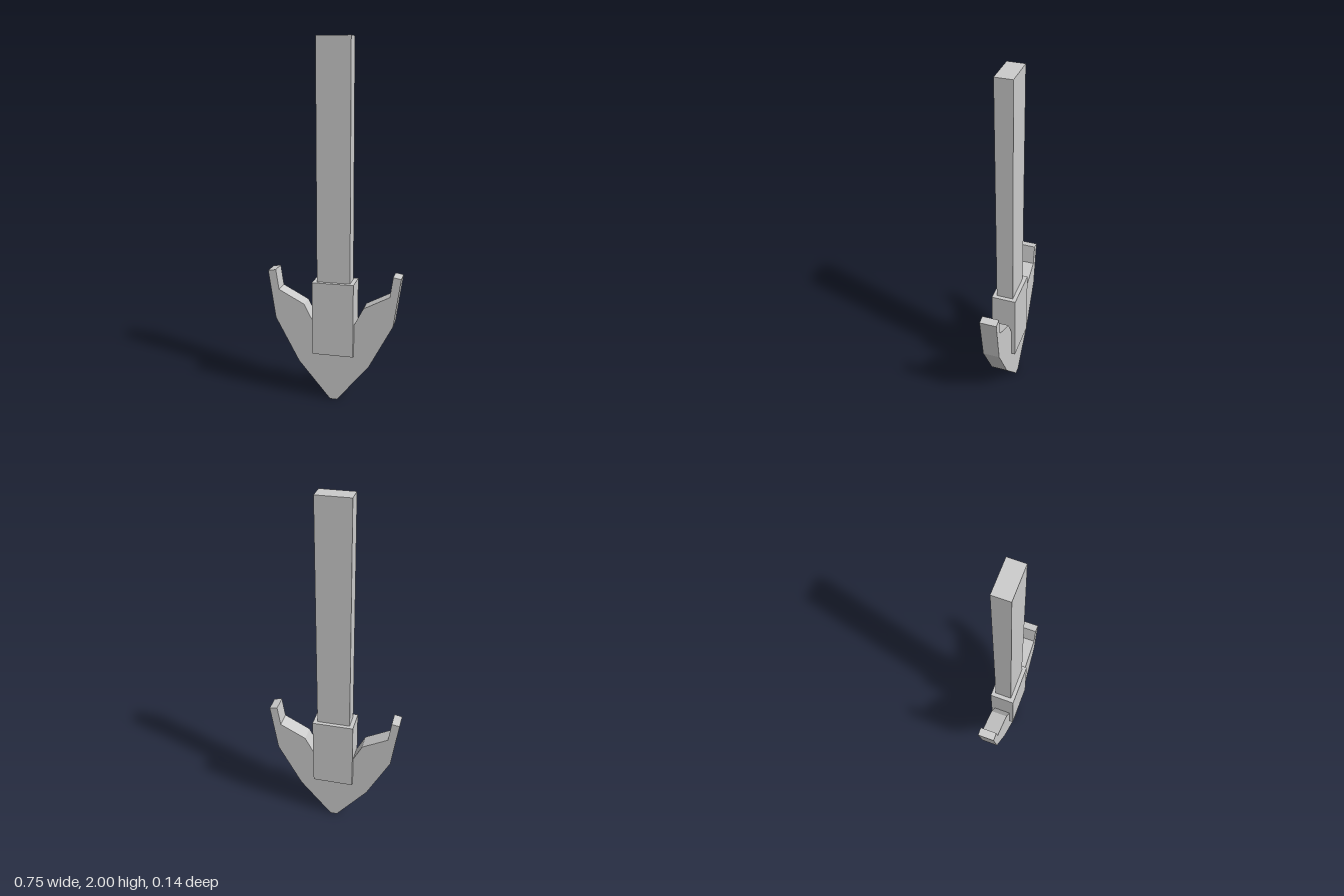
import * as THREE from 'three';

export function createModel() {
  const model = new THREE.Group();
  const material = new THREE.MeshStandardMaterial({ color: 0xcccccc, flatShading: true });

  const add = (name, geometry, y = 0) => {
    const mesh = new THREE.Mesh(geometry, material);
    mesh.name = name;
    mesh.position.y = y;
    model.add(mesh);
  };
  const box = (name, width, depth, bottom, top) =>
    add(name, new THREE.BoxGeometry(width, top - bottom, depth), (bottom + top) / 2);

  // Long flat shaft and the thicker collar that grips it
  box('shaft', 0.186, 0.094, 0.6, 2);
  box('collar', 0.232, 0.138, 0.275, 0.692);

  // Half of the pointed head, from the tip out to the upturned prong and back
  const outline = [
    [0, 0], [0.02, 0], [0.2, 0.215], [0.333, 0.465], [0.373, 0.738], [0.329, 0.746],
    [0.312, 0.632], [0.168, 0.556], [0.113, 0.45], [0.08, 0.39], [0, 0.39],
  ];
  for (const [name, side] of [['leftFluke', 1], ['rightFluke', -1]]) {
    const shape = new THREE.Shape(outline.map(([x, y]) => new THREE.Vector2(side * x, y)));
    const fluke = new THREE.ExtrudeGeometry(shape, { depth: 0.094, bevelEnabled: false });
    add(name, fluke.translate(0, 0, -0.047));
  }
  return model;
}
